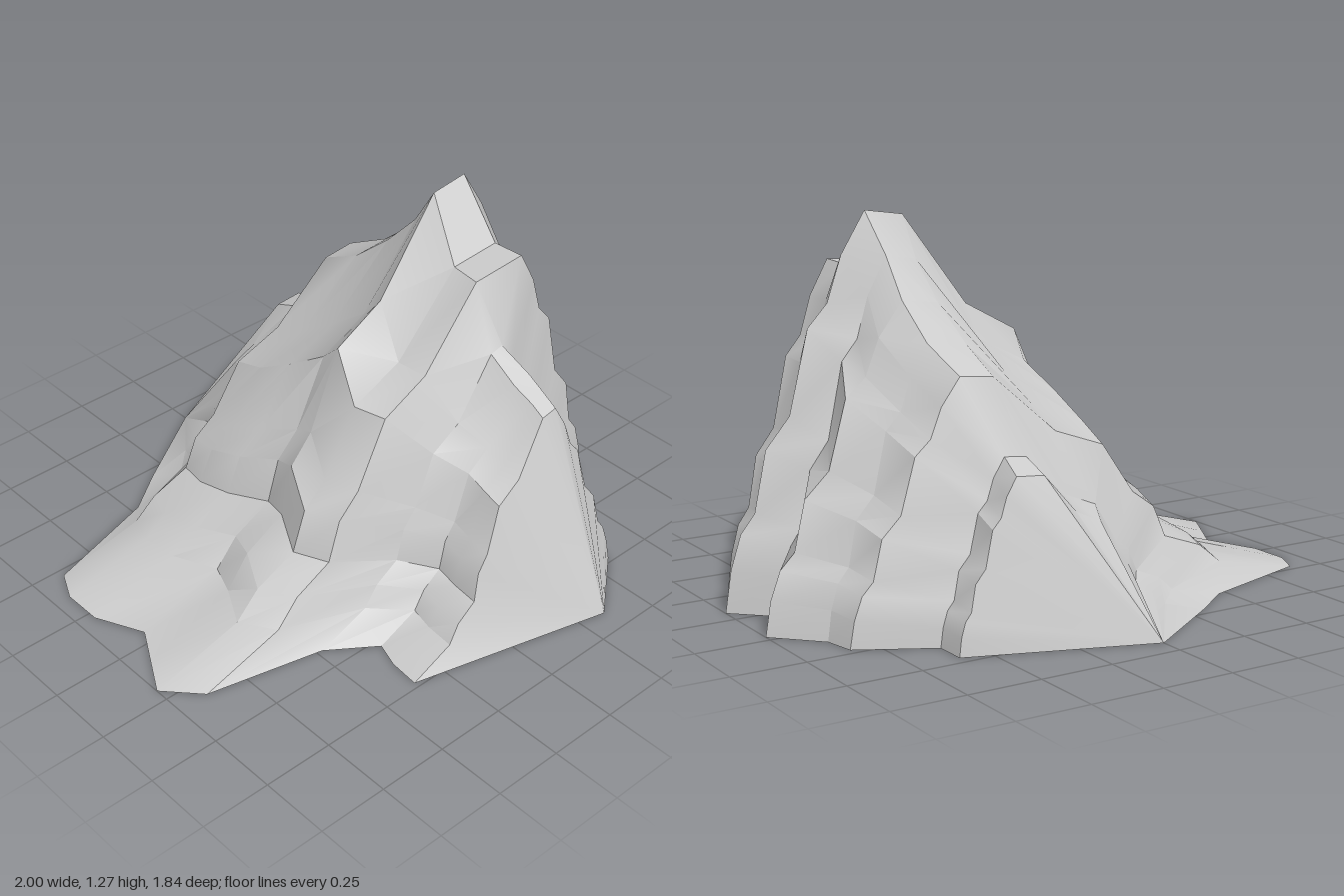
import * as THREE from 'three';
import { toCreasedNormals } from 'three/addons/utils/BufferGeometryUtils.js';

// Stepped slopes: [share of the run, share of the height]
const leftSlope = [[0, 0], [0.26, 0.085], [0.33, 0.17], [0.45, 0.235], [0.49, 0.37], [0.56, 0.445], [0.66, 0.66], [0.81, 0.74], [1, 0.985]];
const rightSlope = [[0, 1], [0.17, 0.89], [0.27, 0.77], [0.41, 0.71], [0.54, 0.49], [0.71, 0.41], [0.79, 0.25], [0.89, 0.2], [0.96, 0.11], [1, 0]];

// Sections from back to front: base z, crest z, left foot, right foot, crest start, crest end, height
const sections = [
  [-0.71, -0.68, -0.32, 0.60, 0.28, 0.38, 0.52],
  [-0.60, -0.58, -0.47, 0.60, 0.28, 0.36, 0.56],
  [-0.47, -0.47, -0.89, 0.84, 0.33, 0.45, 0.80],
  [-0.365, -0.31, -0.94, 0.86, 0.33, 0.47, 0.88],
  [-0.22, -0.17, -0.94, 1.00, 0.35, 0.48, 1.00],
  [-0.05, -0.05, -0.86, 0.87, 0.36, 0.47, 1.13],
  [0.075, 0.035, -0.93, 1.00, 0.36, 0.50, 1.27],
  [0.20, 0.20, -1.00, 0.90, 0.30, 0.49, 1.08],
  [0.32, 0.32, -0.89, 0.88, 0.28, 0.49, 1.085],
  [0.415, 0.42, -0.48, 0.60, 0.26, 0.31, 0.86],
  [0.53, 0.53, -0.32, 0.60, 0.26, 0.33, 0.79],
  [0.62, 0.60, -0.35, 0.57, 0.27, 0.33, 0.75],
  [0.73, 0.65, -0.36, 0.58, 0.27, 0.33, 0.72],
];

function ring([z0, z1, left, right, crestA, crestB, h]) {
  const point = (x, v) => new THREE.Vector3(x, v * h, z0 + (z1 - z0) * v);
  return [
    ...leftSlope.map(([u, v]) => point(left + u * (crestA - left), v)),
    ...rightSlope.map(([u, v]) => point(crestB + u * (right - crestB), v)),
  ];
}

function mountainGeometry() {
  const count = leftSlope.length + rightSlope.length;
  const tip = (x, z) => Array.from({ length: count }, () => new THREE.Vector3(x, 0, z));
  // Both ends run out to a single point on the ground
  const rings = [tip(0, -0.92), ...sections.map(ring), tip(0.35, 0.915)];

  const positions = [];
  const triangle = (a, b, c) => {
    if (a.equals(b) || b.equals(c) || a.equals(c)) return;
    for (const p of [a, b, c]) positions.push(p.x, p.y, p.z);
  };
  for (let k = 0; k < rings.length - 1; k++) {
    const back = rings[k], front = rings[k + 1], end = count - 1;
    // Slopes
    for (let i = 0; i < end; i++) {
      triangle(back[i], front[i], front[i + 1]);
      triangle(back[i], front[i + 1], back[i + 1]);
    }
    // Underside
    triangle(back[0], front[end], front[0]);
    triangle(back[0], back[end], front[end]);
  }
  const geometry = new THREE.BufferGeometry();
  geometry.setAttribute('position', new THREE.Float32BufferAttribute(positions, 3));
  return toCreasedNormals(geometry, 0.55);
}

export function createModel() {
  const group = new THREE.Group();
  group.name = 'mountain';
  const rock = new THREE.Mesh(mountainGeometry(), new THREE.MeshStandardMaterial({ color: 0xcccccc }));
  rock.name = 'rock';
  group.add(rock);
  return group;
}
